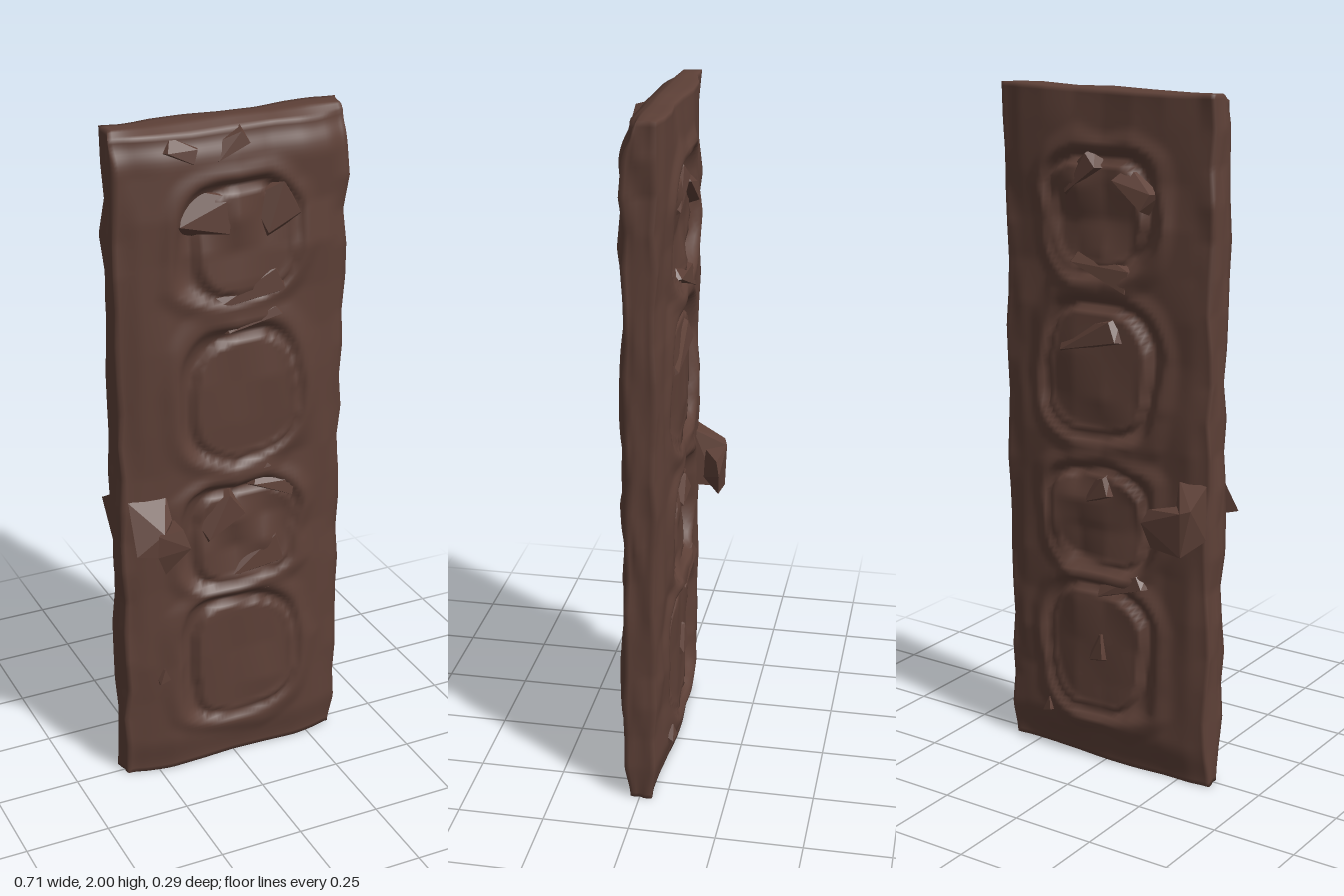
import * as THREE from 'three';
import { ConvexGeometry } from 'three/addons/geometries/ConvexGeometry.js';
import { mergeVertices } from 'three/addons/utils/BufferGeometryUtils.js';

// Repeatable lattice noise in -1..1, for the chipped surface
function hash(i, j, k) {
  const s = Math.sin(i * 127.1 + j * 311.7 + k * 74.7) * 43758.5453;
  return (s - Math.floor(s)) * 2 - 1;
}
function noise(x, y, k) {
  const i = Math.floor(x), j = Math.floor(y), u = x - i, v = y - j;
  const a = hash(i, j, k) * (1 - u) + hash(i + 1, j, k) * u;
  const b = hash(i, j + 1, k) * (1 - u) + hash(i + 1, j + 1, k) * u;
  return a * (1 - v) + b * v;
}
const step = THREE.MathUtils.smoothstep;

// Carved panels: centre x, centre y, half width, half height
const panels = [
  [0.01, 0.36, 0.2, 0.22],
  [0.01, 0.77, 0.19, 0.17],
  [0.01, 1.21, 0.2, 0.22],
  [0.01, 1.66, 0.19, 0.18],
];
const rounded = (x, y, w, h) => (Math.abs(x / w) ** 3 + Math.abs(y / h) ** 3) ** (1 / 3);

// Height of the carving: moulding, sloping recess, and a sharp-edged field set low in it
function relief(x, y, seed) {
  let h = 0;
  panels.forEach(([cx, cy, w, ht], i) => {
    const wob = 1 + 0.09 * noise(x * 11, y * 11, seed + i);
    const outer = rounded(x - cx, y - cy, w, ht) * wob;
    const field = rounded(x - cx - 0.02, y - cy + 0.01, w * 0.86, ht * 0.9) * wob;
    h += 0.01 * step(outer, 0.9, 1.03) * (1 - step(outer, 1.04, 1.3));
    h -= 0.022 * (1 - step(outer, 0.78, 1.04));
    h += 0.02 * (1 - step(field, 0.9, 0.97));
    if (i % 2) h += 0.016 * noise(x * 11, y * 11, seed + 5) * (1 - step(outer, 0.8, 0.95));
  });
  return h;
}

// Distance of the front (side = 1) or back (side = -1) face from the middle
function depth(x, y, side) {
  const edge = 0.345 - Math.abs(x);
  const inner = step(edge, 0, 0.07);
  const seed = side > 0 ? 3 : 21;
  let d = side > 0 ? 0.047 + 0.018 * step(edge, 0, 0.15) : 0.056 + 0.01 * step(edge, 0.02, 0.3);
  d += inner * relief(x, y, seed) * (side > 0 ? 1 : 1.3);
  d += inner * (side > 0 ? 0.007 : 0.01) * noise(x * 10, y * 8, seed + 9);
  d -= (1 - inner) * 0.007 * (1 + noise(x * 6, y * 10, seed + 2));
  d -= (side > 0 ? 0.022 : 0.002) * step(y, 1.88, 2);
  d -= 0.018 * (1 - step(y, 0, 0.12));
  return d;
}

function slabGeometry() {
  const box = new THREE.BoxGeometry(0.69, 2, 2, 56, 150, 6);
  // shared corners, so the worn edges shade softly
  box.deleteAttribute('normal');
  box.deleteAttribute('uv');
  const g = mergeVertices(box);
  const p = g.attributes.position;
  for (let i = 0; i < p.count; i++) {
    const x = p.getX(i), y = p.getY(i) + 1, t = p.getZ(i);
    const z = t * depth(x, y, t >= 0 ? 1 : -1);
    // worn long edges and a top end that falls away to the front
    const worn = step(Math.abs(x), 0.3, 0.345) * 0.008 * noise(y * 10, t * 2, x > 0 ? 31 : 37);
    const top = step(y, 1.9, 2);
    const drop = top * (0.004 * (1 + noise(x * 8, t, 41)) + 0.022 * step(t, 0, 1));
    p.setXYZ(i, x - 0.002 + worn, y - drop, z);
  }
  g.computeVertexNormals();
  return g;
}

export function createModel() {
  const model = new THREE.Group();
  const wood = new THREE.MeshStandardMaterial({ color: 0x5d4037 });
  wood.name = 'dark brown wood';

  const add = (name, geometry) => {
    const mesh = new THREE.Mesh(geometry, wood);
    mesh.name = name;
    model.add(mesh);
    return mesh;
  };
  const hull = (name, pts) => add(name, new ConvexGeometry(pts.map((q) => new THREE.Vector3(...q))));

  add('doorSlab', slabGeometry());

  // Rough handles: a stem out of the slab and a lever towards the middle
  hull('frontHandleStem', [
    [-0.33, 0.93, 0.045], [-0.22, 0.94, 0.055], [-0.2, 0.84, 0.055], [-0.29, 0.8, 0.055],
    [-0.34, 0.8, 0.13], [-0.27, 0.79, 0.14], [-0.26, 0.86, 0.14], [-0.22, 0.88, 0.1],
  ]);
  hull('frontHandleLever', [
    [-0.28, 0.86, 0.145], [-0.28, 0.79, 0.14], [-0.18, 0.8, 0.143], [-0.2, 0.86, 0.135],
    [-0.25, 0.72, 0.12], [-0.21, 0.78, 0.06], [-0.2, 0.86, 0.06],
  ]);
  hull('backHandleStem', [
    [-0.34, 0.92, -0.05], [-0.25, 0.93, -0.05], [-0.25, 0.75, -0.05], [-0.34, 0.76, -0.05],
    [-0.34, 0.87, -0.135], [-0.31, 0.86, -0.145], [-0.31, 0.73, -0.14], [-0.27, 0.74, -0.12],
  ]);
  hull('backHandleLever', [
    [-0.31, 0.86, -0.145], [-0.31, 0.73, -0.14], [-0.21, 0.74, -0.135], [-0.18, 0.81, -0.141],
    [-0.2, 0.85, -0.13], [-0.24, 0.78, -0.085], [-0.27, 0.86, -0.085],
  ]);

  // Splinters standing off the carving: x, y, width, height, turn, face
  const splinters = [
    [0.03, 1.52, 0.26, 0.1, 0.12, 1], [-0.09, 1.75, 0.18, 0.15, -0.3, 1],
    [0.12, 1.74, 0.13, 0.16, 0.4, 1], [-0.02, 0.59, 0.3, 0.04, -0.08, 1],
    [0.12, 0.91, 0.16, 0.07, -0.45, 1], [0.02, 0.97, 0.2, 0.03, 0.1, 1],
    [0.05, 1.43, 0.2, 0.04, 0.2, 1], [-0.16, 1.93, 0.1, 0.06, -0.5, 1],
    [-0.02, 1.93, 0.12, 0.06, 0.4, 1], [-0.24, 0.34, 0.04, 0.06, 0.3, 1],
    [-0.05, 0.83, 0.16, 0.12, 0.5, 1], [0.06, 0.68, 0.2, 0.13, 0.1, 1],
    [0.0, 1.5, 0.24, 0.09, -0.4, -1], [0.08, 1.76, 0.16, 0.08, 0.6, -1],
    [-0.1, 1.73, 0.15, 0.08, -0.7, -1], [0.05, 1.3, 0.24, 0.09, 0.2, -1],
    [0.02, 0.85, 0.1, 0.08, 0.3, -1], [-0.06, 0.57, 0.2, 0.06, 0.3, -1],
    [0.02, 0.36, 0.06, 0.11, 0.1, -1], [0.2, 0.14, 0.04, 0.06, 0.2, -1],
  ];
  splinters.forEach(([x, y, w, h, turn, face], i) => {
    const out = face > 0 ? 0.02 : 0.036;
    const chip = hull('splinter' + (i + 1), [
      [-w / 2, -h / 2, -0.025], [w / 2, -h * 0.4, -0.025], [w * 0.45, h / 2, -0.025], [-w * 0.4, h * 0.35, -0.025],
      [-w * 0.4, -h * 0.3, out * 0.4], [w * 0.42, -h * 0.25, out * 0.6], [w * 0.35, h * 0.4, out * 0.3],
    ]);
    chip.position.set(x, y, face * 0.062);
    chip.rotation.set(0, face > 0 ? 0 : Math.PI, turn);
  });
  return model;
}
